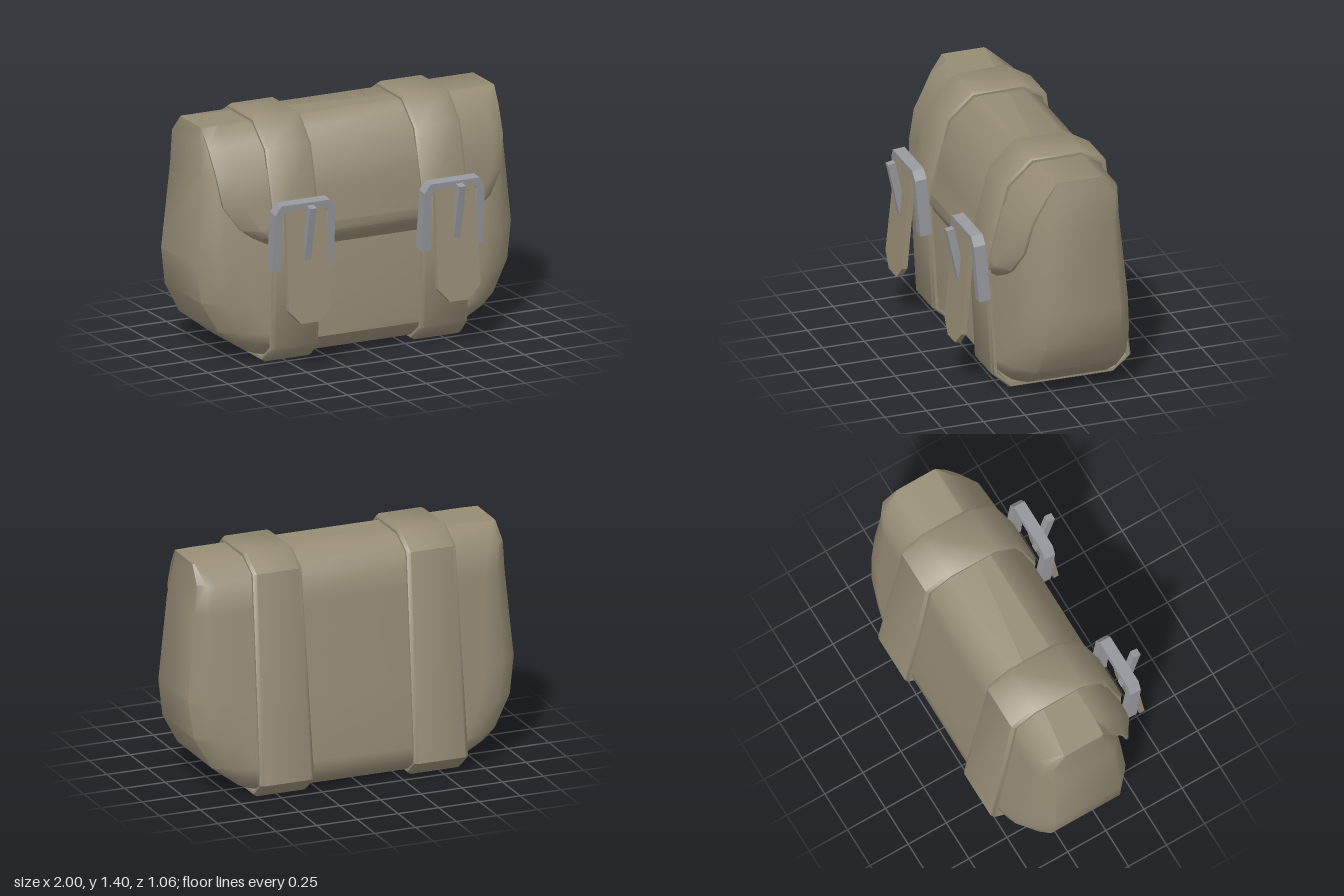
import * as THREE from 'three';
import { toCreasedNormals } from 'three/addons/utils/BufferGeometryUtils.js';

const fabric = new THREE.MeshStandardMaterial({ color: 0x968c75 });
fabric.name = 'khaki canvas';
const metal = new THREE.MeshStandardMaterial({ color: 0x96989d });
metal.name = 'grey metal';

// Skin a list of equal-sized rings; either cap the ends or close into a loop
function loft(rings, loop = false) {
  const n = rings[0].length, m = rings.length, index = [];
  for (let i = 0; i < (loop ? m : m - 1); i++) {
    const p = i * n, q = ((i + 1) % m) * n;
    for (let j = 0; j < n; j++) {
      const k = (j + 1) % n;
      index.push(p + j, p + k, q + k, p + j, q + k, q + j);
    }
  }
  if (!loop) {
    const t = (m - 1) * n;
    for (let j = 1; j < n - 1; j++) index.push(0, j + 1, j, t, t + j, t + j + 1);
  }
  const g = new THREE.BufferGeometry();
  g.setAttribute('position', new THREE.Float32BufferAttribute(rings.flat(2), 3));
  g.setIndex(index);
  return toCreasedNormals(g, 0.9);
}

function mesh(name, geometry, material) {
  const m = new THREE.Mesh(geometry, material);
  m.name = name;
  return m;
}

// Extrude an outline centred on its own thickness
function plate(points, depth) {
  const shape = new THREE.Shape(points.map(([x, y]) => new THREE.Vector2(x, y)));
  return new THREE.ExtrudeGeometry(shape, { depth, bevelEnabled: false }).translate(0, 0, -depth / 2);
}

// Bag body: height, half width, front z, back z, corner rounding
function bodyGeometry() {
  const levels = [
    [0.03, 0.62, 0.18, -0.40, 0.4],
    [0.06, 0.70, 0.21, -0.43, 0.7],
    [0.13, 0.79, 0.28, -0.49, 1],
    [0.19, 0.87, 0.273, -0.483, 1.1],
    [0.37, 0.97, 0.253, -0.463, 1.1],
    [0.59, 1.00, 0.228, -0.438, 1],
    [1.10, 0.955, 0.17, -0.38, 0.7],
    [1.28, 0.94, 0.09, -0.36, 0.45],
    [1.38, 0.93, 0.03, -0.235, 0.08],
  ];
  return loft(levels.map(([y, w, f, b, k]) => {
    const half = [
      [w - 0.22 * k, f], [w - 0.1 * k, f - 0.04 * k], [w, f - 0.13 * k],
      [w, b + 0.11 * k], [w - 0.1 * k, b + 0.03 * k], [w - 0.22 * k, b],
    ];
    const mirrored = half.slice().reverse().map(([x, z]) => [-x, z]);
    return [...half, ...mirrored].map(([x, z]) => [x, y, z]);
  }));
}

// Front flap: height, half width, outer z, inner z
function flapGeometry() {
  const levels = [
    [0.675, 0.50, 0.275, 0.265],
    [0.70, 0.60, 0.29, 0.26],
    [0.76, 0.72, 0.325, 0.25],
    [0.81, 0.79, 0.315, 0.24],
    [0.95, 0.885, 0.28, 0.20],
    [1.13, 0.91, 0.24, 0.16],
    [1.28, 0.922, 0.15, 0.085],
    [1.38, 0.93, 0.035, 0.025],
  ];
  return loft(levels.map(([y, w, o, i]) => [
    [-w + 0.1, y, o], [w - 0.1, y, o], [w, y, i + (o - i) * 0.2],
    [w, y, i], [-w, y, i], [-w, y, i + (o - i) * 0.2],
  ]));
}

// Strap loop around the bag: outer z, y and half width
function strapGeometry() {
  const path = [
    [0.20, 0.005, 0.16], [0.305, 0.10, 0.15], [0.333, 0.60, 0.145], [0.343, 0.82, 0.142],
    [0.225, 1.26, 0.145], [0.07, 1.405, 0.15], [-0.235, 1.41, 0.15], [-0.385, 1.32, 0.15],
    [-0.53, 0.10, 0.165], [-0.42, 0.005, 0.165],
  ];
  const n = path.length;
  return loft(path.map(([z, y, h], i) => {
    const a = path[(i + n - 1) % n], b = path[(i + 1) % n];
    const dz = b[0] - a[0], dy = b[1] - a[1], len = Math.hypot(dz, dy);
    const at = (x, t) => [x, y + (t * dz) / len, z - (t * dy) / len];
    return [at(-h + 0.02, 0), at(h - 0.02, 0), at(h, 0.013), at(h, 0.03), at(-h, 0.03), at(-h, 0.013)];
  }), true);
}

// Strap with its loose end, buckle frame and pin
function strapSet() {
  const set = new THREE.Group();
  set.add(mesh('strapLoop', strapGeometry(), fabric));

  const tail = mesh('strapTail', plate([
    [-0.125, 0.34], [-0.135, -0.26], [-0.06, -0.34], [0.06, -0.34], [0.135, -0.26], [0.125, 0.34],
  ], 0.032), fabric);
  tail.position.set(0, 0.63, 0.447);
  tail.rotation.x = -0.095;

  const frame = mesh('buckleFrame', plate([
    [-0.195, -0.2], [-0.135, -0.2], [-0.145, 0.13], [-0.125, 0.155], [0.125, 0.155], [0.145, 0.13],
    [0.135, -0.2], [0.195, -0.2], [0.19, 0.145], [0.155, 0.198], [-0.155, 0.198], [-0.19, 0.145],
  ], 0.07), metal);
  frame.position.set(0, 0.788, 0.383);
  frame.rotation.x = 0.09;

  const pin = mesh('bucklePin', new THREE.BoxGeometry(0.042, 0.385, 0.045), metal);
  pin.position.set(0, 0.79, 0.467);
  pin.rotation.x = 0.215;

  set.add(tail, frame, pin);
  return set;
}

export function createModel() {
  const bag = new THREE.Group();
  bag.name = 'satchel';
  bag.add(mesh('body', bodyGeometry(), fabric), mesh('flap', flapGeometry(), fabric));
  for (const side of [-1, 1]) {
    const set = strapSet();
    set.name = side > 0 ? 'leftStrap' : 'rightStrap';
    set.position.x = side * 0.473;
    bag.add(set);
  }
  return bag;
}
